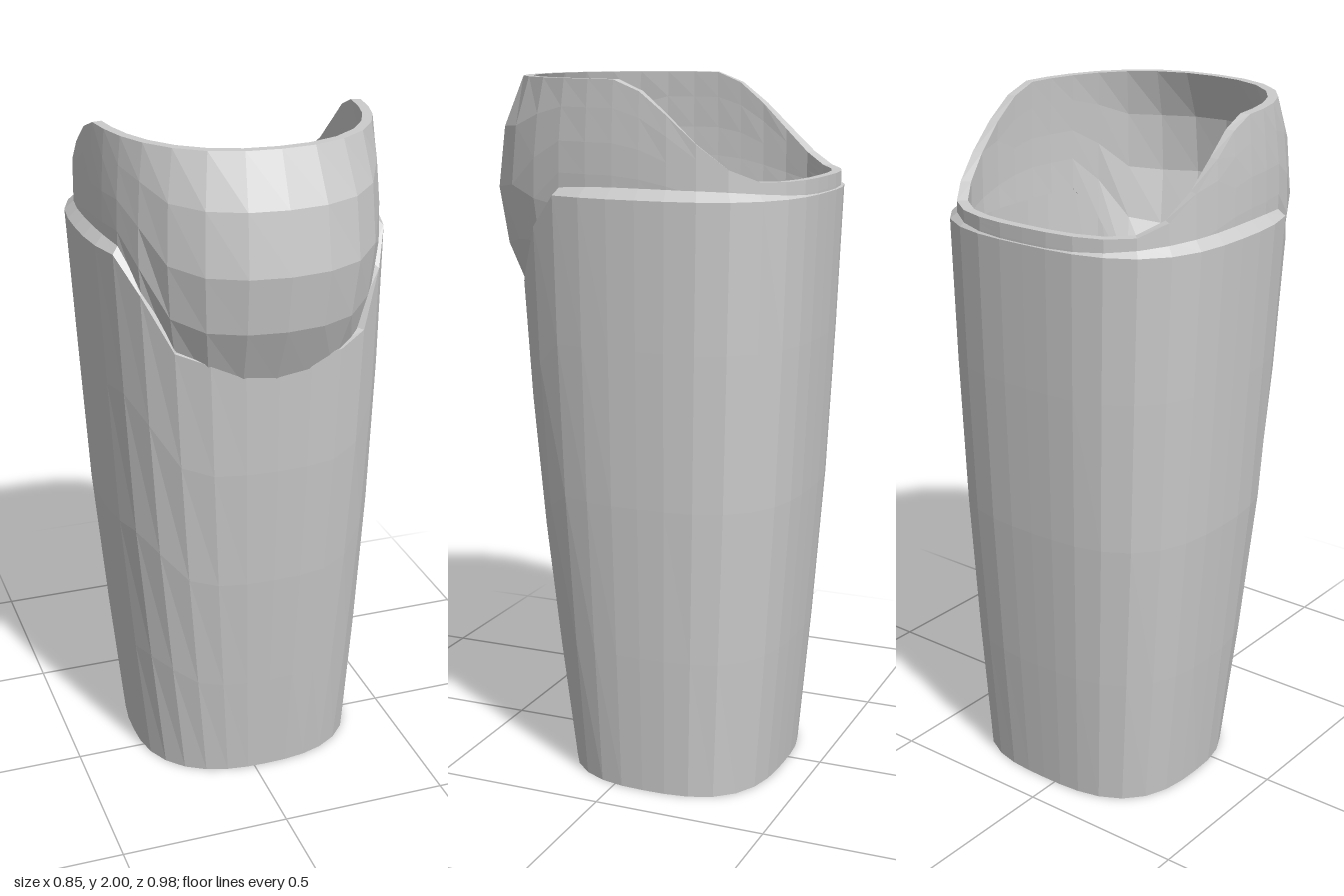
import * as THREE from 'three';

const SEGMENTS = 32;
const CENTRE_Z = -0.09;

// Cross-section extents by height: [y, xMin, xMax, zBack, zFront]
const SHELL = [
  [0, -0.30, 0.38, -0.40, 0.22],
  [0.4, -0.34, 0.397, -0.43, 0.277],
  [0.85, -0.38, 0.412, -0.458, 0.337],
  [1.3, -0.405, 0.42, -0.476, 0.382],
  [1.72, -0.428, 0.424, -0.488, 0.40],
];
const KNEE = [
  [1.36, -0.36, 0.355, -0.47, 0.378],
  [1.53, -0.385, 0.38, -0.478, 0.46],
  [1.69, -0.40, 0.395, -0.485, 0.488],
  [1.86, -0.398, 0.393, -0.485, 0.463],
  [2.0, -0.388, 0.385, -0.475, 0.395],
];

// Point on a rounded-square section; inset moves it inward for the wall.
function sectionPoint(table, y, angle, inset, frontPower, backPower) {
  let k = 0;
  while (k < table.length - 2 && y > table[k + 1][0]) k++;
  const u = THREE.MathUtils.clamp((y - table[k][0]) / (table[k + 1][0] - table[k][0]), 0, 1);
  const [, x0, x1, back, front] = table[k].map((v, i) => THREE.MathUtils.lerp(v, table[k + 1][i], u));
  const c = Math.cos(angle), s = Math.sin(angle);
  const a = (x1 - x0) / 2 - inset;
  const b = (s > 0 ? front - CENTRE_Z : CENTRE_Z - back) - inset;
  const n = s > 0 ? frontPower : backPower;
  const r = Math.pow(Math.pow(Math.abs(c) / a, n) + Math.pow(Math.abs(s) / b, n), -1 / n);
  return new THREE.Vector3((x0 + x1) / 2 + r * c, y, CENTRE_Z + r * s);
}

// Closed wall: the rows run up the outside, over the rim and down the inside.
function wallGeometry(rows, pointAt) {
  const positions = [], index = [];
  rows.forEach((row) => {
    for (let j = 0; j < SEGMENTS; j++) {
      positions.push(...pointAt(row, (j / SEGMENTS) * Math.PI * 2).toArray());
    }
  });
  for (let i = 0; i < rows.length; i++) {
    const up = (i + 1) % rows.length;
    for (let j = 0; j < SEGMENTS; j++) {
      const next = (j + 1) % SEGMENTS;
      const a = i * SEGMENTS + j, b = up * SEGMENTS + j;
      const c = up * SEGMENTS + next, d = i * SEGMENTS + next;
      index.push(a, b, c, a, c, d);
    }
  }
  const geometry = new THREE.BufferGeometry();
  geometry.setAttribute('position', new THREE.Float32BufferAttribute(positions, 3));
  geometry.setIndex(index);
  geometry.computeVertexNormals();
  return geometry;
}

// Outer rows followed by the same rows on the inside, top to bottom
function doubleRows(heights) {
  return [
    ...heights.map((t) => ({ t, inner: false })),
    ...heights.slice().reverse().map((t) => ({ t, inner: true })),
  ];
}

// How far the joint between shell and knee guard dips: 0 at sides and back, 1 in front
function frontDip(angle) {
  const z = sectionPoint(SHELL, 1.6, angle, 0, 2.4, 2.9).z;
  return THREE.MathUtils.smoothstep(z, 0.18, 0.35);
}

export function createModel() {
  const group = new THREE.Group();
  group.name = 'shinGuard';
  const material = new THREE.MeshStandardMaterial({ color: 0xcccccc, flatShading: true });

  // Tapered shin shell with a sloping ledge at its top
  const shellGeometry = wallGeometry(doubleRows([0, 0.24, 0.5, 0.76, 1]), ({ t, inner }, angle) => {
    const dip = frontDip(angle);
    const lip = inner ? 0.03 * (1 - dip) : 0;
    const y = t * (1.69 - 0.27 * dip + lip);
    const inset = inner ? THREE.MathUtils.lerp(0.025, 0.032, t) : 0;
    return sectionPoint(SHELL, y, angle, inset, 2.5, 2.9);
  });
  const shell = new THREE.Mesh(shellGeometry, material);
  shell.name = 'shinShell';
  group.add(shell);

  // Bulging knee guard, high in front and cut low behind
  const kneeHeights = [1.36, 1.53, 1.69, 1.86, 2].map((y) => (y - 1.36) / 0.64);
  const kneeGeometry = wallGeometry(doubleRows(kneeHeights), ({ t, inner }, angle) => {
    const z = sectionPoint(KNEE, 1.8, angle, 0, 2.3, 2.8).z;
    const top = 2 - 0.265 * THREE.MathUtils.smoothstep(-z, 0, 0.43);
    const bottom = 1.66 - 0.3 * frontDip(angle);
    const y = THREE.MathUtils.lerp(bottom, top, t);
    return sectionPoint(KNEE, y, angle, inner ? 0.027 : 0, 2.3, 2.8);
  });
  const knee = new THREE.Mesh(kneeGeometry, material);
  knee.name = 'kneeGuard';
  group.add(knee);

  return group;
}
